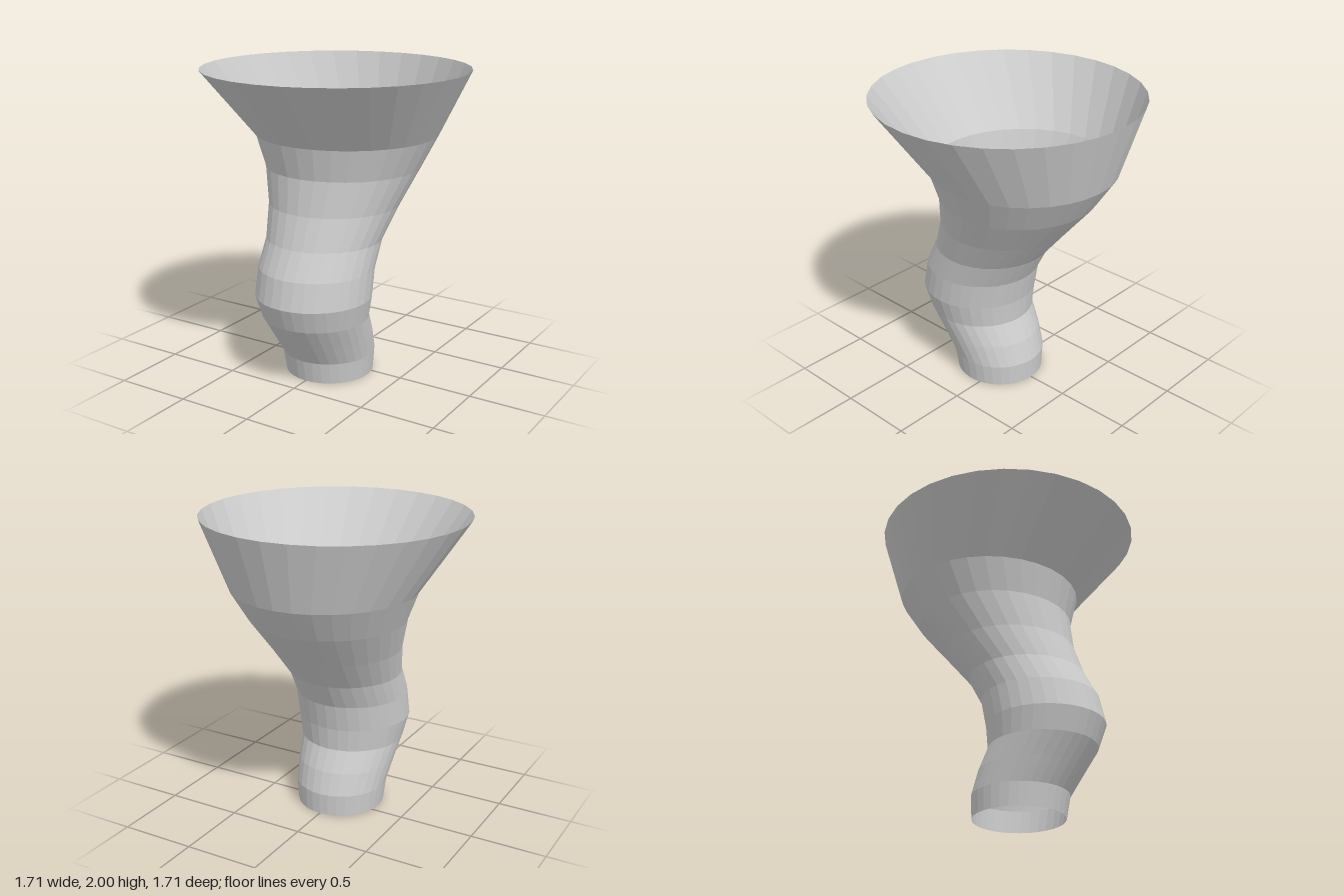
import * as THREE from 'three';

// Horizontal rings from the top down: height, front z, back z, half width
const RINGS = [
  [2.0, 0.855, -0.855, 0.855],
  [1.565, 0.455, -0.735, 0.595],
  [1.36, 0.41, -0.6, 0.505],
  [1.135, 0.44, -0.41, 0.425],
  [0.93, 0.51, -0.24, 0.375],
  [0.76, 0.6, -0.15, 0.375],
  [0.58, 0.64, -0.115, 0.377],
  [0.43, 0.585, -0.105, 0.345],
  [0.29, 0.49, -0.175, 0.325],
  [0.145, 0.392, -0.222, 0.305],
  [0, 0.365, -0.218, 0.29],
];
const SIDES = 32;

export function createModel() {
  const group = new THREE.Group();
  group.name = 'funnel';

  // Open tube whose rings are resized and shifted along the winding path
  const geometry = new THREE.CylinderGeometry(1, 1, 1, SIDES, RINGS.length - 1, true);
  const pos = geometry.attributes.position;
  for (let i = 0; i < pos.count; i++) {
    const [y, front, back, halfWidth] = RINGS[Math.floor(i / (SIDES + 1))];
    const z = (front + back) / 2 + (pos.getZ(i) * (front - back)) / 2;
    pos.setXYZ(i, pos.getX(i) * halfWidth, y, z);
  }
  geometry.computeVertexNormals();

  const material = new THREE.MeshStandardMaterial({
    color: 0xcccccc,
    flatShading: true,
    side: THREE.DoubleSide,
  });
  const wall = new THREE.Mesh(geometry, material);
  wall.name = 'flaredTubeWall';
  group.add(wall);
  return group;
}
